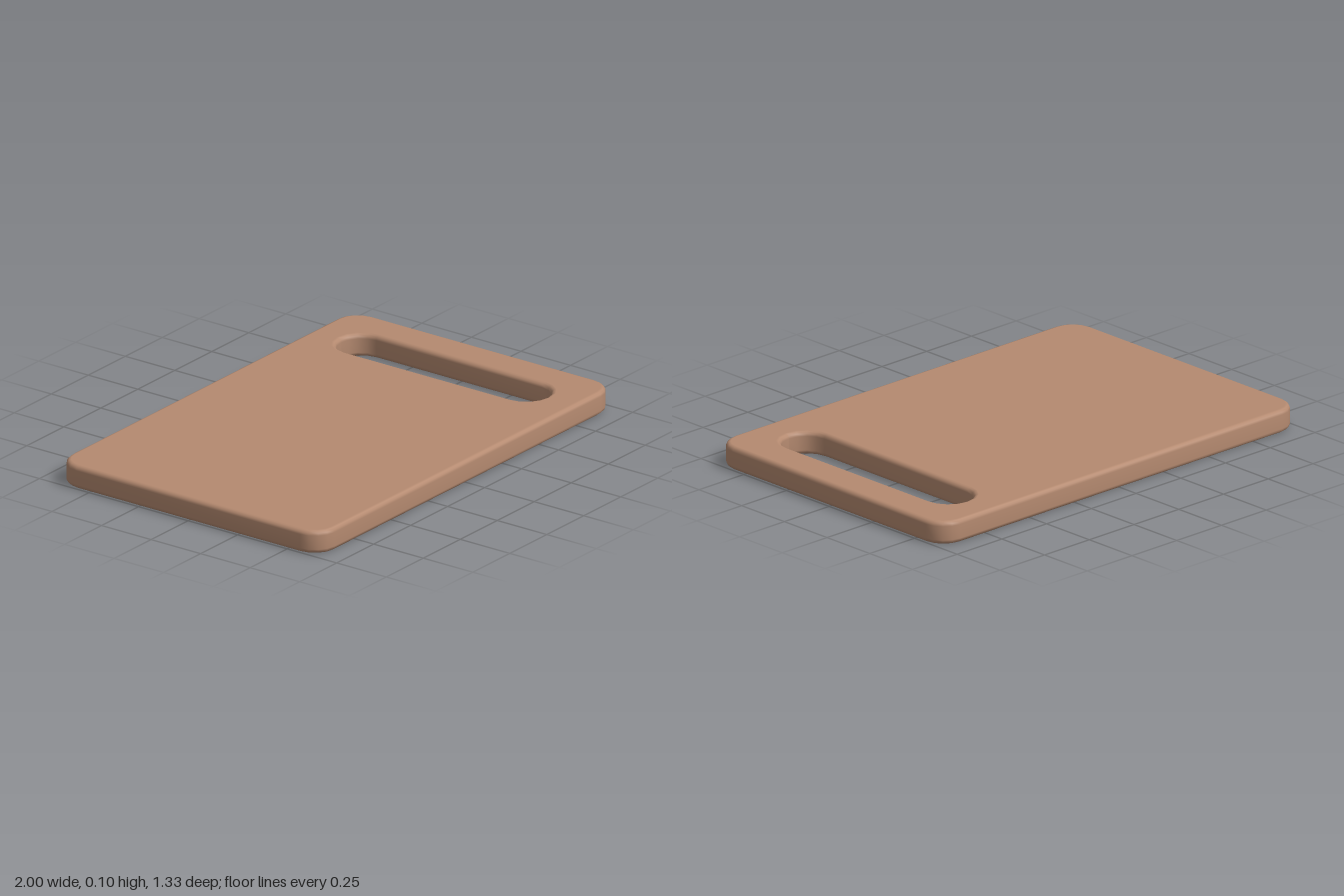
import * as THREE from 'three';
import { mergeVertices } from 'three/addons/utils/BufferGeometryUtils.js';

const WIDTH = 2, DEPTH = 1.33, HEIGHT = 0.1, BEVEL = 0.02;

// Outline points of a rounded rectangle, counter-clockwise
function roundedRect(cx, cy, w, h, r, steps) {
  const points = [];
  const corners = [[1, 1], [-1, 1], [-1, -1], [1, -1]];
  corners.forEach(([sx, sy], i) => {
    for (let k = 0; k <= steps; k++) {
      const a = (i + k / steps) * Math.PI / 2;
      points.push(new THREE.Vector2(
        cx + sx * (w / 2 - r) + r * Math.cos(a),
        cy + sy * (h / 2 - r) + r * Math.sin(a)));
    }
  });
  return points;
}

export function createModel() {
  const model = new THREE.Group();
  model.name = 'cuttingBoard';

  // Board outline with the long handle slot cut through its left end
  const outline = new THREE.Shape(roundedRect(0, 0, WIDTH, DEPTH, 0.1, 4));
  outline.holes.push(new THREE.Path(roundedRect(0.733, 0.003, 0.205, 1.035, 0.1, 4).reverse()));

  let geometry = new THREE.ExtrudeGeometry(outline, {
    depth: HEIGHT - 2 * BEVEL,
    bevelThickness: BEVEL,
    bevelSize: BEVEL,
    bevelOffset: -BEVEL,
    bevelSegments: 3,
  });
  geometry.rotateX(-Math.PI / 2);
  geometry.translate(0, BEVEL, 0);

  // Smooth the rounded rims and keep the two large faces flat
  geometry.deleteAttribute('uv');
  geometry.deleteAttribute('normal');
  geometry = mergeVertices(geometry, 1e-4);
  geometry.computeVertexNormals();
  const { position, normal } = geometry.attributes;
  for (let i = 0; i < position.count; i++) {
    const y = position.getY(i);
    if (y > HEIGHT - 1e-4) normal.setXYZ(i, 0, 1, 0);
    else if (y < 1e-4) normal.setXYZ(i, 0, -1, 0);
  }

  const board = new THREE.Mesh(geometry, new THREE.MeshStandardMaterial({ color: 0xb58a70 }));
  board.name = 'board';
  model.add(board);
  return model;
}
